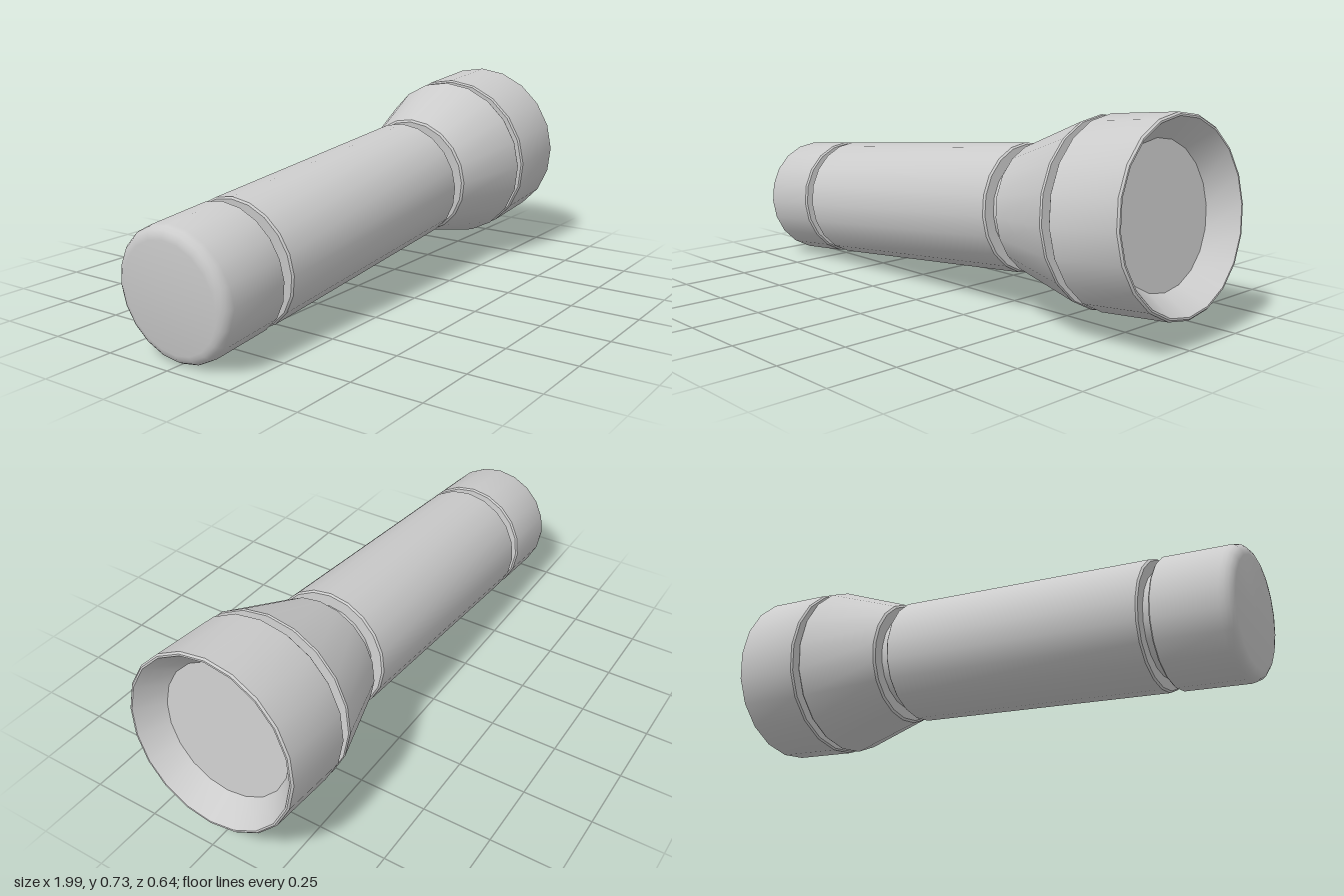
import * as THREE from 'three';
import { toCreasedNormals } from 'three/addons/utils/BufferGeometryUtils.js';

const SIDES = 20;
const TILT = 0.0975;
const material = new THREE.MeshStandardMaterial({ color: 0xcccccc });

// Turned part: profile of [radius, position along the axis], from tail to head
function turned(name, profile) {
  const points = profile.map(([r, s]) => new THREE.Vector2(r, s));
  const geometry = toCreasedNormals(new THREE.LatheGeometry(points, SIDES), 0.6);
  const mesh = new THREE.Mesh(geometry, material);
  mesh.name = name;
  return mesh;
}

// Quarter-round corner between the tail face and its side
function roundedCorner(radius, start, size, steps) {
  const corner = [];
  for (let i = 0; i <= steps; i++) {
    const a = (i / steps) * Math.PI / 2;
    corner.push([radius - size + size * Math.sin(a), start + size - size * Math.cos(a)]);
  }
  return corner;
}

export function createModel() {
  const torch = new THREE.Group();
  torch.name = 'flashlight';

  const R = 0.227, B = 0.006;

  torch.add(
    // Tail cap with a rounded end
    turned('tailCap', [[0, -0.985], ...roundedCorner(R, -0.985, 0.04, 4),
      [R, -0.711 - B], [R - B, -0.711], [0, -0.711]]),
    // Narrow core seen in the tail and neck grooves
    turned('core', [[0.182, -0.72], [0.182, 0.39]]),
    // Main barrel
    turned('barrel', [[0, -0.674], [R - B, -0.674], [R, -0.674 + B],
      [R, 0.326 - B], [R - B, 0.326], [0, 0.326]]),
    // Flared head
    turned('head', [[0, 0.379], [R - B, 0.379], [R + 0.002, 0.379 + B],
      [0.318, 0.67 - B], [0.315, 0.67], [0, 0.67]]),
    // Core seen in the groove behind the bezel
    turned('headCore', [[0.28, 0.66], [0.28, 0.71]]),
    // Bezel with a conical reflector inside
    turned('bezel', [[0, 0.7], [0.32 - B, 0.7], [0.32, 0.7 + B],
      [0.32, 0.97 - B], [0.32 - B, 0.97], [0.308, 0.97], [0.242, 0.88]]),
    // Flat lens at the bottom of the reflector
    turned('lens', [[0.242, 0.88], [0, 0.88]]),
  );

  // Lay it down along x, with the wide head slightly raised
  torch.rotation.z = -Math.PI / 2 + TILT;
  torch.position.y = 0.318;

  const model = new THREE.Group();
  model.name = 'model';
  model.add(torch);
  return model;
}
